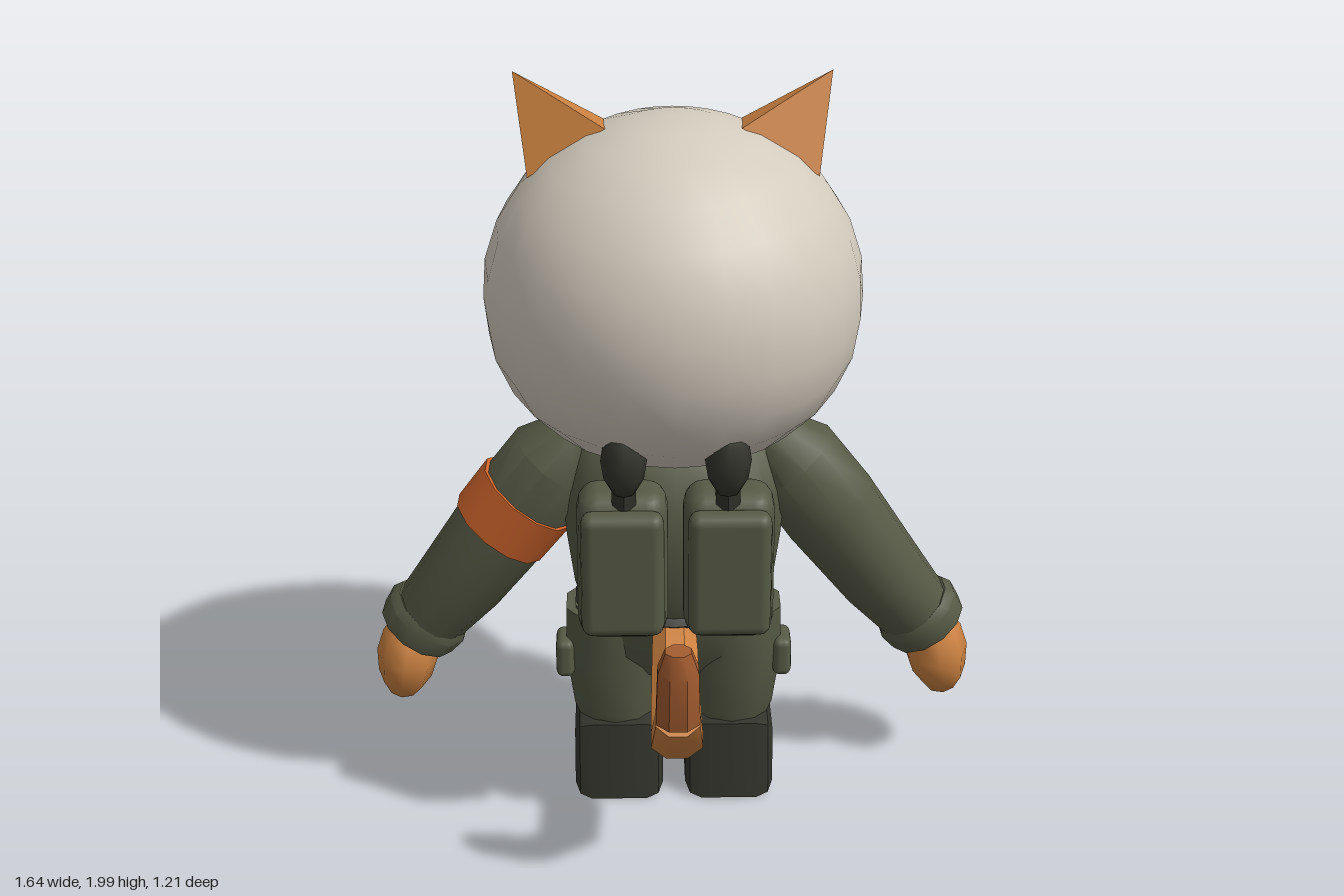
import * as THREE from 'three';
import { toCreasedNormals } from 'three/addons/utils/BufferGeometryUtils.js';
import { RoundedBoxGeometry } from 'three/addons/geometries/RoundedBoxGeometry.js';

const V = (x, y, z) => new THREE.Vector3(x, y, z);
const X = V(1, 0, 0), Y = V(0, 1, 0), Z = V(0, 0, 1);

function fromTriangles(points, crease = 0.7) {
  const geo = new THREE.BufferGeometry().setFromPoints(points);
  return toCreasedNormals(geo, crease);
}

// Skins a stack of equal rings, each counter-clockwise about the stacking direction
function skin(rings, capStart = true, capEnd = true, crease = 0.7) {
  const tris = [], n = rings[0].length;
  const mid = (r) => r.reduce((s, p) => s.add(p), V(0, 0, 0)).divideScalar(n);
  const first = rings[0], last = rings[rings.length - 1];
  const c0 = mid(first), c1 = mid(last);
  for (let j = 0; j < n; j++) {
    const k = (j + 1) % n;
    for (let i = 0; i < rings.length - 1; i++) {
      const a = rings[i][j], b = rings[i][k], c = rings[i + 1][j], d = rings[i + 1][k];
      tris.push(a, b, c, b, d, c);
    }
    if (capStart) tris.push(c0, first[k], first[j]);
    if (capEnd) tris.push(c1, last[j], last[k]);
  }
  return fromTriangles(tris, crease);
}

// Elliptical sections [x, y, z, radiusA, radiusB] along a path
function limb(sections, ref, sides = 10, dir = null, crease = 0.7) {
  const pts = sections.map((s) => V(s[0], s[1], s[2]));
  return skin(sections.map((s, i) => {
    const d = dir || pts[Math.min(i + 1, pts.length - 1)].clone().sub(pts[Math.max(i - 1, 0)]).normalize();
    const u = ref.clone().cross(d).normalize(), v = d.clone().cross(u);
    return Array.from({ length: sides }, (_, j) => {
      const t = ((j + 0.5) / sides) * Math.PI * 2;
      return pts[i].clone().addScaledVector(u, Math.cos(t) * s[3]).addScaledVector(v, Math.sin(t) * (s[4] ?? s[3]));
    });
  }), true, true, crease);
}

// Piecewise linear lookup
function lookup(table, t) {
  for (let i = 1; i < table.length; i++) {
    const [a, va] = table[i - 1], [b, vb] = table[i];
    if (t <= b) return va + ((vb - va) * (t - a)) / (b - a);
  }
  return table[table.length - 1][1];
}

export function createModel() {
  const root = new THREE.Group();
  const material = (name, color, side = THREE.FrontSide) => {
    const m = new THREE.MeshStandardMaterial({ color, side });
    m.name = name;
    return m;
  };
  const shell = material('helmet white', 0xd3cbbd, THREE.DoubleSide);
  const green = material('suit green', 0x565a45);
  const dark = material('dark rubber', 0x33342c);
  const fur = material('orange fur', 0xcb8140, THREE.DoubleSide);
  const rust = material('rust fur', 0xa35c30);
  const bandRed = material('armband orange', 0xcc632b);
  const pink = material('pink skin', 0xc08c8c, THREE.DoubleSide);
  const glass = material('lens grey', 0x868c98);
  const white = material('muzzle white', 0xd0cec8);
  const black = material('whisker black', 0x1c1c1a);

  const add = (name, geo, mat, x = 0, y = 0, z = 0) => {
    const m = new THREE.Mesh(geo, mat);
    m.name = name;
    m.position.set(x, y, z);
    root.add(m);
    return m;
  };
  const blob = (name, mat, p, r, w = 10, h = 7) =>
    add(name, new THREE.SphereGeometry(1, w, h).scale(...r), mat, ...p);
  const box = (name, mat, p, s, r = 0.03) =>
    add(name, new RoundedBoxGeometry(...s, 2, r), mat, ...p);
  const rod = (name, mat, a, b, r, sides = 6) =>
    add(name, limb([[...a, r], [...b, r]], Math.abs(a[1] - b[1]) > 0.06 ? Z : Y, sides), mat);

  // Helmet: an ellipsoid whose lower rim rises around the face
  const rim = [[0, 1.36], [32, 1.34], [42, 1.23], [60, 1.2], [90, 1.15], [120, 1.11], [180, 1.08]];
  const helmetRings = [];
  for (let r = 0; r <= 10; r++) {
    helmetRings.push(Array.from({ length: 24 }, (_, j) => {
      const phi = (j / 24) * Math.PI * 2;
      const low = Math.asin((lookup(rim, Math.abs(180 - j * 15)) - 1.46) / 0.45);
      const s = Math.sin(low + (Math.PI / 2 - low) * (r / 10));
      const k = Math.sqrt(Math.max(0, 1 - Math.pow(Math.abs(s), s < 0 ? 2.4 : 2)));
      return V(Math.sin(phi) * 0.485 * k, 1.46 + 0.45 * s, -0.068 + Math.cos(phi) * 0.498 * k);
    }));
  }
  add('helmet', skin(helmetRings, true, false, 0.8), shell);

  // Face
  blob('face', fur, [0, 1.42, -0.15], [0.4, 0.385, 0.395], 18, 14);
  blob('nose', pink, [0, 1.25, -0.54], [0.025, 0.02, 0.022], 8, 6);
  blob('chin', white, [0, 1.135, -0.45], [0.045, 0.035, 0.04], 8, 6);
  for (const s of [-1, 1]) {
    blob('muzzle', white, [s * 0.055, 1.2, -0.485], [0.062, 0.055, 0.05]);
    for (const k of [-1, 0, 1]) {
      rod('whisker', black, [s * 0.09, 1.215 + k * 0.02, -0.5], [s * 0.26, 1.225 + k * 0.04, -0.5 + k * 0.01], 0.005, 4);
    }
  }

  // Ears: orange behind, pink in front
  for (const s of [-1, 1]) {
    const tip = V(s * 0.4, 2, -0.15), b = V(s * 0.17, 1.88, -0.05), c = V(s * 0.365, 1.755, -0.05);
    const d = V(s * 0.16, 1.86, -0.18), e = V(s * 0.37, 1.74, -0.17);
    add('ear', fromTriangles([tip, b, c, tip, c, e, tip, d, b], 0.1), fur);
    add('innerEar', fromTriangles([tip, e, d], 0.1), pink);
  }

  // Goggles: rounded rectangle rings bent around the face
  const goggleRing = (w, h, back) => Array.from({ length: 28 }, (_, j) => {
    const t = (j / 28) * Math.PI * 2, c = Math.cos(t), q = Math.sin(t);
    const x = -Math.sign(c) * Math.pow(Math.abs(c), 0.5) * w;
    const y = Math.sign(q) * Math.pow(Math.abs(q), 0.55) * h;
    return V(x, 1.42 + y, -0.595 + 0.82 * x * x + back);
  });
  const inner = goggleRing(0.29, 0.065, 0.015);
  add('goggleFrame', skin([goggleRing(0.36, 0.112, 0.11), goggleRing(0.36, 0.115, 0.035),
    goggleRing(0.345, 0.1, 0), goggleRing(0.3, 0.072, 0), inner], true, false, 0.6), dark);
  add('goggleLens', skin([inner, goggleRing(0.15, 0.03, -0.005)], false, true, 1), glass);

  // Torso, belt and hips
  add('torso', limb([[0, 0.57, -0.07, 0.25, 0.16], [0, 0.64, -0.07, 0.27, 0.19], [0, 0.78, -0.075, 0.29, 0.215],
    [0, 0.92, -0.07, 0.3, 0.21], [0, 1.04, -0.09, 0.27, 0.16], [0, 1.1, -0.1, 0.19, 0.1]], Z, 14, Y), green);
  for (const [y, rx, rz] of [[0.57, 0.265, 0.185], [0.62, 0.26, 0.18]]) {
    add('belt', limb([[0, y - 0.022, -0.08, rx - 0.015, rz - 0.015], [0, y, -0.08, rx + 0.005, rz + 0.01],
      [0, y + 0.022, -0.08, rx - 0.015, rz - 0.015]], Z, 14, Y), dark);
  }
  add('hips', limb([[0, 0.36, -0.08, 0.12, 0.09], [0, 0.44, -0.07, 0.25, 0.13], [0, 0.56, -0.07, 0.27, 0.16]], Z, 14, Y), green);

  // Boot side profile, toe toward +x before turning
  const bootShape = new THREE.Shape([[-0.06, 0.01], [-0.055, 0.07], [-0.03, 0.225], [0.17, 0.225], [0.21, 0.17],
    [0.33, 0.1], [0.355, 0.04], [0.34, 0.01]].map((p) => new THREE.Vector2(...p)));
  const bootGeo = toCreasedNormals(new THREE.ExtrudeGeometry(bootShape, {
    depth: 0.15, bevelEnabled: true, bevelThickness: 0.045, bevelSize: 0.035, bevelOffset: -0.035, bevelSegments: 2,
  }).translate(0, 0, -0.075).rotateY(Math.PI / 2), 0.7);

  for (const s of [-1, 1]) {
    // Legs
    add('leg', limb([[s * 0.155, 0.2, -0.09, 0.1, 0.1], [s * 0.16, 0.25, -0.09, 0.115, 0.115],
      [s * 0.162, 0.4, -0.09, 0.135, 0.135], [s * 0.155, 0.55, -0.08, 0.14, 0.14]], Z, 10, Y), green);
    add('boot', bootGeo, dark, s * 0.15, 0, 0);
    box('thighPocket', green, [s * 0.293, 0.405, -0.06], [0.05, 0.11, 0.11], 0.02);

    // Arms
    add('sleeve', limb([[s * 0.24, 1.05, -0.1, 0.07, 0.08], [s * 0.31, 0.96, -0.105, 0.13, 0.135],
      [s * 0.42, 0.81, -0.11, 0.135, 0.125], [s * 0.57, 0.6, -0.13, 0.12, 0.115],
      [s * 0.69, 0.44, -0.17, 0.1, 0.1]], Z, 12), green);
    add('cuff', limb([[s * 0.655, 0.49, -0.16, 0.11, 0.105], [s * 0.67, 0.47, -0.165, 0.122, 0.115],
      [s * 0.7, 0.425, -0.175, 0.115, 0.11]], Z, 12), green);
    const hand = blob('hand', fur, [s * 0.735, 0.335, -0.19], [0.085, 0.13, 0.115], 8, 6);
    hand.rotation.z = s * 0.15;
    blob('thumb', rust, [s * 0.685, 0.385, -0.285], [0.035, 0.045, 0.035], 7, 5);

    // Backpack half with a strap handle on top
    box('backpackBody', green, [s * 0.135, 0.825, 0.215], [0.23, 0.41, 0.16], 0.055);
    box('backpackPanel', green, [s * 0.135, 0.83, 0.31], [0.21, 0.34, 0.07], 0.03);
    blob('packHandle', dark, [s * 0.13, 1.13, 0.28], [0.058, 0.1, 0.06], 8, 6);
    rod('packHandleStem', dark, [s * 0.13, 0.98, 0.26], [s * 0.13, 1.08, 0.275], 0.035);

    // Chest pouch
    box('chestPouch', green, [s * 0.145, 0.86, -0.32], [0.18, 0.2, 0.15], 0.05);
  }

  // Armband and chest lamp
  add('armband', limb([[-0.385, 0.86, -0.108, 0.143, 0.138], [-0.465, 0.755, -0.115, 0.14, 0.13]], Z, 12), bandRed);
  rod('chestLamp', dark, [-0.17, 0.94, -0.32], [-0.17, 1.035, -0.32], 0.035, 8);
  rod('chestLampTip', white, [-0.17, 1.0, -0.34], [-0.17, 1.0, -0.375], 0.025, 8);

  // Tail with darker tip
  add('tail', limb([[0, 0.53, 0.02, 0.06], [0, 0.5, 0.13, 0.065], [0, 0.4, 0.27, 0.065, 0.07],
    [0, 0.41, 0.42, 0.05, 0.072], [0, 0.54, 0.535, 0.05, 0.06]], X, 8), fur);
  add('tailTip', limb([[0, 0.54, 0.535, 0.052, 0.06], [0, 0.7, 0.57, 0.048, 0.055],
    [0, 0.755, 0.575, 0.03, 0.035]], X, 8), rust);

  return root;
}
